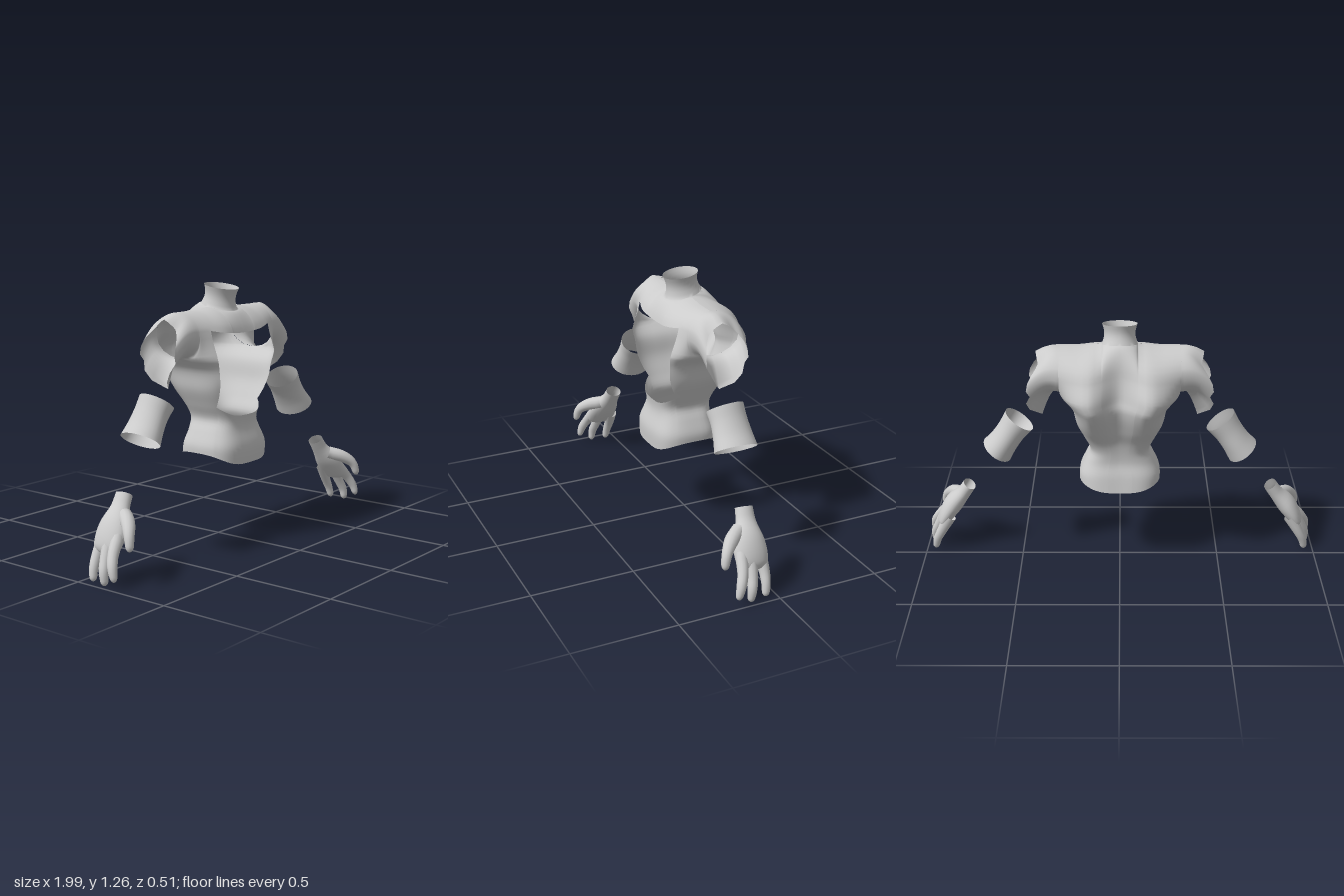
import * as THREE from 'three';
import { mergeGeometries, mergeVertices } from 'three/addons/utils/BufferGeometryUtils.js';

const { lerp, smoothstep } = THREE.MathUtils;
const PI = Math.PI;

// Smooth lookup in a small table of [key, value] pairs
function table(...p) {
  return k => {
    let i = 0;
    while (i < p.length - 2 && k > p[i + 1][0]) i++;
    const slope = j => {
      const a = p[Math.max(j - 1, 0)], b = p[Math.min(j + 1, p.length - 1)];
      return (b[1] - a[1]) / (b[0] - a[0]);
    };
    const [x0, y0] = p[i], [x1, y1] = p[i + 1], h = x1 - x0;
    const t = Math.min(1, Math.max(0, (k - x0) / h)), q = t * t, r = q * t;
    return (2 * r - 3 * q + 1) * y0 + (r - 2 * q + t) * h * slope(i) + (3 * q - 2 * r) * y1 + (r - q) * h * slope(i + 1);
  };
}

// Grid surface of f(a, b) -> [x, y, z]; its front is on the a x b side
function patch(f, na, nb) {
  const pos = [], idx = [], n = na + 1;
  for (let j = 0; j <= nb; j++) for (let i = 0; i <= na; i++) pos.push(...f(i / na, j / nb));
  for (let j = 0; j < nb; j++) for (let i = 0; i < na; i++) {
    const k = j * n + i;
    idx.push(k, k + 1, k + n + 1, k, k + n + 1, k + n);
  }
  const g = new THREE.BufferGeometry();
  g.setAttribute('position', new THREE.Float32BufferAttribute(pos, 3));
  g.setIndex(idx);
  return g;
}

function mirrored(geo) {
  const g = geo.clone().scale(-1, 1, 1), ix = g.index;
  for (let i = 0; i < ix.count; i += 3) {
    const t = ix.getX(i);
    ix.setX(i, ix.getX(i + 1));
    ix.setX(i + 1, t);
  }
  return g;
}

function weld(list) {
  const g = mergeVertices(mergeGeometries(list), 2e-4);
  g.computeVertexNormals();
  return g;
}

// ---- torso profiles by height ----
const Y0 = 0.92;                       // armpit level
const width = table([.39, .195], [.45, .2], [.49, .198], [.555, .17], [.61, .146], [.68, .176], [.76, .213], [.86, .238], [Y0, .29]);
const frontZ = table([.39, .2], [.48, .2], [.577, .173], [.66, .183], [.75, .2], [.83, .225], [Y0, .205]);
const backZ = table([.39, .146], [.49, .127], [.56, .108], [.66, .132], [.743, .195], [.87, .287], [Y0, .285]);
const groove = table([.39, .08], [.6, .15], [.75, .3], [Y0, .42]);
const openX = table([.68, .165], [.76, .185], [.83, .2], [.865, .207], [Y0, .225]);
const PF = 3.5, PB = 2.5;              // squareness of chest and back
const W0 = width(Y0), NECK = 0.088, OX = 0.225;
const spine = (x, g) => 1 - g * (1 - smoothstep(x, 0, .16));

// Point on the torso ring: phi 0 = breastbone, PI = spine
function body(phi, y) {
  const s = Math.abs(Math.sin(phi)), c = Math.cos(phi), p = c >= 0 ? PF : PB;
  const x = width(y) * s ** (2 / p), k = Math.abs(c) ** (2 / p);
  return [x, y, c >= 0 ? frontZ(y) * k : -backZ(y) * k * spine(x, groove(y))];
}
const phiAt = (x, w, p) => Math.asin(Math.min(1, (x / w) ** (p / 2)));
const backX = a => a < .375 ? NECK * Math.sin(a / .375 * PI / 2)
  : NECK + (W0 - NECK) * Math.sin((a - .375) / .625 * PI / 2);
// Ring angle from the edge of the chest opening round to the spine
const ringPhi = (a, y) => a < 1 / 3 + 1e-9
  ? lerp(phiAt(openX(y), width(y), PF), PI / 2, a * 3)
  : PI - phiAt(backX((1 - a) * 1.5), W0, PB);

// Shoulder column at x; v runs from armpit level to the top ridge
function column(x, v, front) {
  const th = PI * v, sn = Math.sin(th), sg = front ? 1 : -1;
  const r = Math.min(1, x / W0), phi = phiAt(r, 1, front ? PF : PB);
  const cb = Math.cos(phi) ** (2 / (front ? PF : PB));
  const z0 = body(front ? phi : PI - phi, Y0)[2];
  const zt = .005 + sg * NECK * Math.sqrt(Math.max(0, 1 - (x / NECK) ** 2));
  const top = x < NECK ? 1.15 - .22 * (zt - .005) : 1.14 + .01 * (1 - smoothstep(x, NECK, .2));
  const core = front ? lerp(.195, .125, v) : lerp(.265, .15, v) * spine(x, lerp(.42, .2, v));
  const zm = sg * lerp(core, front ? .105 : .125, smoothstep(x, .12, .38));
  const f = (1 - Math.cos(th)) / 2, k = v < .5 ? lerp(v, f, 1 - cb) : f;
  const e = v < .5 ? z0 : zt;
  return [x, lerp(Y0, top, k), e + (zm - e) * sn];
}
// v on the upper edge of the chest opening
function openV(x) {
  const q = Math.min(x, OX), y = 1.03 + .025 * (q / OX) ** 2, top = column(q, 1, true)[1];
  return Math.acos(1 - 2 * (y - Y0) / (top - Y0)) / PI;
}
const frontV = (b, x) => b < 5 / 13 ? openV(x) * b * 13 / 5 : lerp(openV(x), 1, (b - 5 / 13) * 13 / 8);

// Torn sleeve: blends from the armpit column to a jagged end
const endX = [.38, .465, .43, .455, .425, .39, .405];
const endY = [.785, .85, .915, .96, 1.02, 1.07, 1.115];
function sleeve(t, v, front) {
  const p = column(W0, v, front), k = v * 6, i = Math.min(5, Math.floor(k)), f = k - i;
  const ex = lerp(endX[i], endX[i + 1], f), ey = lerp(endY[i], endY[i + 1], f);
  const arch = Math.sin(PI * t) * lerp(.04, .012, v);
  const z = (front ? .1 : -.115) * Math.sin(PI * v) ** .8;
  return [lerp(p[0], ex, t), lerp(p[1], ey, t) + arch, lerp(p[2], z, t)];
}

function torsoGeometry() {
  const p0 = phiAt(openX(.68), width(.68), PF);
  const abdomen = (a, b) => {
    const phi = a < .25 ? p0 * a * 4 : ringPhi((a - .25) / .75, .68);
    const low = lerp(phi < PI / 2 ? .396 : .413, .45, Math.sin(phi) ** 2);
    return body(phi, lerp(low, .63 + .05 * Math.min(1, phi / p0) ** 2, b));
  };
  const ribs = (a, b) => { const y = lerp(.68, Y0, b); return body(ringPhi(a, y), y); };
  const yoke = (a, b) => {
    const x = a < .5 ? NECK * Math.sin(a * PI) : lerp(NECK, OX, a * 2 - 1);
    return column(x, lerp(openV(x), 1, b), true);
  };
  const chestSide = (a, b) => {
    const x = W0 * Math.sin(lerp(phiAt(OX, W0, PF), PI / 2, a)) ** (2 / PF);
    return column(x, frontV(b, x), true);
  };
  const neck = (a, b) => {
    const c = Math.cos(a * PI), r = NECK - .012 * Math.sin(PI * b) - .003 * b;
    const z = lerp(.005, .02, b) + r * c;
    return [r * Math.sin(a * PI), lerp(1.15 - .22 * NECK * c, 1.247 - .16 * r * c, b), z];
  };
  const half = [
    patch(abdomen, 32, 16), patch(ribs, 24, 16), patch(yoke, 16, 8), patch(chestSide, 8, 13),
    patch((a, b) => column(backX(1 - a), b, false), 16, 13),
    patch((a, b) => sleeve(a, frontV(b, W0), true), 10, 13),
    patch((a, b) => sleeve(1 - a, frontV(b, W0), false), 10, 13),
    patch(neck, 16, 6),
  ];
  return weld([...half, ...half.map(mirrored)]);
}

// Tube through stations [x, y, z, half thickness, half width along z]
function limb(stations, sides, rows, closed) {
  const path = new THREE.CatmullRomCurve3(stations.map(s => new THREE.Vector3(s[0], s[1], s[2])));
  const size = new THREE.CatmullRomCurve3(stations.map(s => new THREE.Vector3(s[3], s[4], s[0])));
  return patch((a, b) => {
    const t = closed ? 1 - (1 - b) ** 1.7 : b, c = path.getPoint(t), r = size.getPoint(t), T = path.getTangent(t);
    const n1 = new THREE.Vector3(0, 0, 1).addScaledVector(T, -T.z).normalize();
    const n2 = T.clone().cross(n1);
    const tip = closed && t > .88 ? Math.sqrt(Math.max(0, 1 - ((t - .88) / .12) ** 2)) : 1;
    const w = a * 2 * PI;
    return c.addScaledVector(n1, Math.cos(w) * r.y * tip).addScaledVector(n2, Math.sin(w) * r.x * tip).toArray();
  }, sides, rows);
}

function handGeometry() {
  const finger = (...s) => limb(s.map(p => [...p, p[3]]), 12, 16, true);
  return weld([
    // palm from the open wrist to the knuckles
    limb([[.766, .366, .068, .034, .042], [.8, .315, .075, .036, .047], [.85, .255, .088, .048, .073],
      [.89, .195, .093, .042, .08], [.925, .13, .095, .024, .07]], 24, 20, true),
    finger([.82, .29, .12, .034], [.865, .27, .18, .032], [.905, .23, .222, .024], [.922, .165, .24, .017]),
    finger([.885, .21, .14, .03], [.945, .14, .162, .025], [.972, .09, .183, .022], [.98, .035, .2, .015]),
    finger([.9, .19, .1, .03], [.942, .11, .112, .025], [.965, .06, .124, .022], [.968, .003, .132, .016]),
    finger([.875, .19, .047, .034], [.92, .11, .04, .025], [.945, .06, .044, .021], [.958, .005, .052, .016]),
  ]);
}

export function createModel() {
  const model = new THREE.Group();
  const mat = new THREE.MeshStandardMaterial({ color: 0xcccccc, side: THREE.DoubleSide });
  const add = (name, geo) => {
    const m = new THREE.Mesh(geo, mat);
    m.name = name;
    model.add(m);
  };
  const pair = (name, geo) => {
    add('left' + name, geo);
    const g = mirrored(geo);
    g.computeVertexNormals();
    add('right' + name, g);
  };
  add('torsoShell', torsoGeometry());
  // open bands round the elbows
  pair('ElbowBand', weld([limb([[.497, .743, .03, .082, .09], [.535, .69, .028, .072, .088],
    [.575, .632, .028, .072, .095], [.612, .58, .03, .081, .105]], 32, 12, false)]));
  pair('Hand', handGeometry());
  return model;
}
